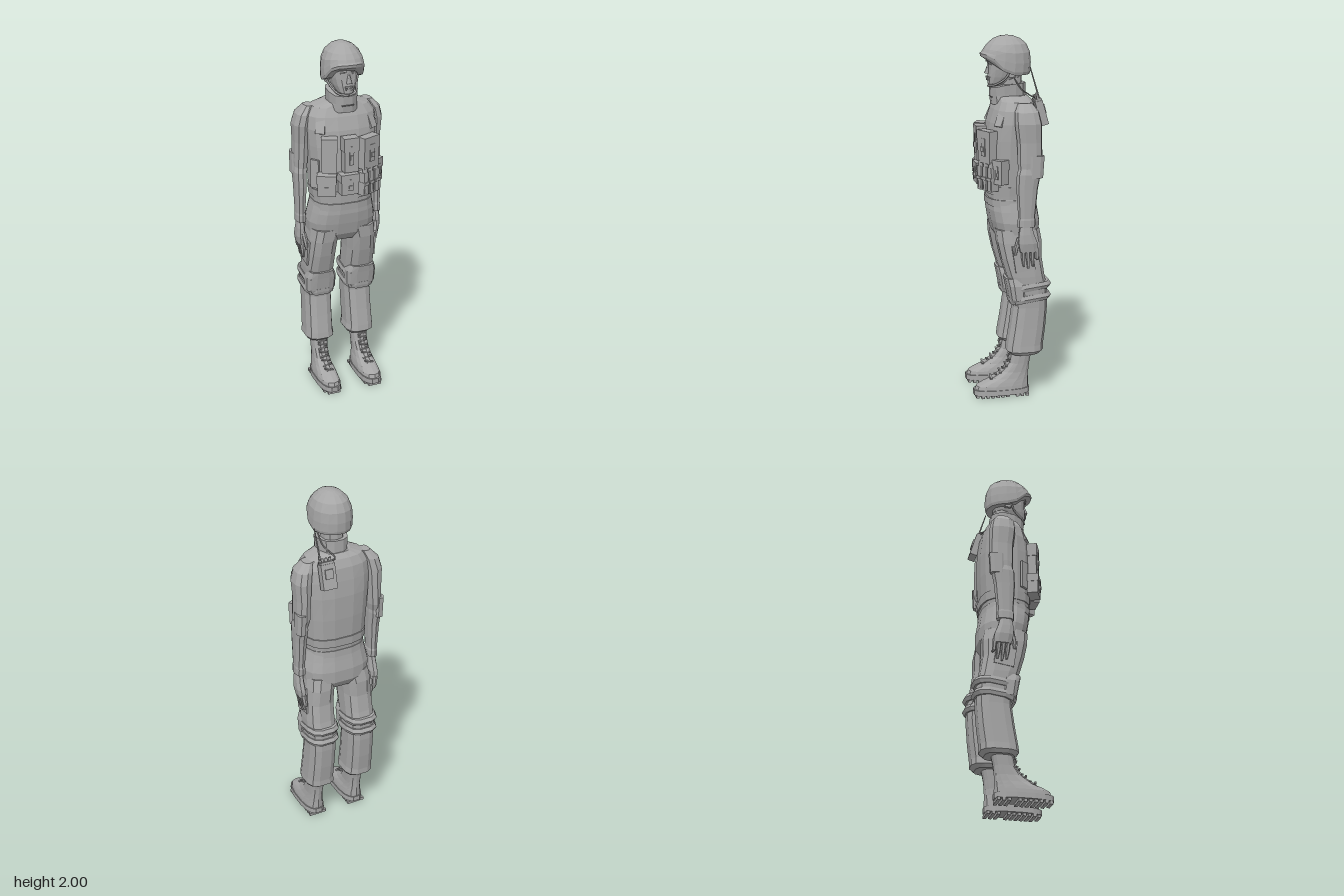
import * as THREE from 'three';

const grey = new THREE.MeshStandardMaterial({ color: 0xa6a6a6 });
grey.name = 'matte grey';

// Closed body from horizontal rings, bottom to top: [y, x0, x1, zBack, zFront, frontLift]
function loft(rings, sides = 12, power = 0.8) {
  const pos = [], idx = [];
  const bend = (v) => Math.sign(v) * Math.pow(Math.abs(v), power);
  for (const [y, x0, x1, zb, zf, lift = 0] of rings) {
    for (let i = 0; i < sides; i++) {
      const a = ((i + 0.5) / sides) * Math.PI * 2, t = bend(Math.sin(a));
      pos.push((x0 + x1) / 2 + ((x1 - x0) / 2) * bend(Math.cos(a)),
        y + lift * Math.tanh(3 * (t - 0.4)), (zb + zf) / 2 + ((zf - zb) / 2) * t);
    }
  }
  for (let r = 0; r < rings.length - 1; r++) {
    for (let i = 0; i < sides; i++) {
      const a = r * sides + i, b = r * sides + ((i + 1) % sides);
      idx.push(a, a + sides, b, b, a + sides, b + sides);
    }
  }
  const top = (rings.length - 1) * sides;
  for (let i = 1; i < sides - 1; i++) idx.push(0, i, i + 1, top, top + i + 1, top + i);
  const g = new THREE.BufferGeometry();
  g.setAttribute('position', new THREE.Float32BufferAttribute(pos, 3));
  g.setIndex(idx);
  const flat = g.toNonIndexed();
  flat.computeVertexNormals();
  return flat;
}

function add(parent, name, geometry, x = 0, y = 0, z = 0, rx = 0, ry = 0, rz = 0) {
  const m = new THREE.Mesh(geometry, grey);
  m.name = name;
  m.position.set(x, y, z);
  m.rotation.set(rx, ry, rz);
  parent.add(m);
  return m;
}
const box = (w, h, d) => new THREE.BoxGeometry(w, h, d);
const group = (parent, name) => {
  const g = new THREE.Group();
  g.name = name;
  parent.add(g);
  return g;
};
const tube = (pts, r) => new THREE.TubeGeometry(
  new THREE.CatmullRomCurve3(pts.map((p) => new THREE.Vector3(...p))), 14, r, 5);
// Rings symmetric about x = 0: [y, halfWidth, zBack, zFront, lift]
const even = (rings) => rings.map(([y, w, ...rest]) => [y, -w, w, ...rest]);
// Rings given for the left side, flipped for the right
const sided = (s, rings) => rings.map(([y, a, b, ...rest]) => (s > 0 ? [y, a, b, ...rest] : [y, -b, -a, ...rest]));

function pouch(parent, name, x, y, z, w, h, d, ry) {
  const g = group(parent, name);
  g.position.set(x, y, z);
  g.rotation.y = ry;
  add(g, 'pouchBody', box(w, h, d));
  add(g, 'pouchFlap', box(w + 0.006, h * 0.4, d + 0.008), 0, h * 0.31, 0);
  add(g, 'pouchStrap', box(w * 0.3, h * 0.55, 0.006), 0, 0, d / 2 + 0.004);
  add(g, 'pouchBuckle', box(w * 0.22, h * 0.14, 0.012), 0, -0.01, d / 2 + 0.006);
}

function head(root) {
  const g = group(root, 'head');
  add(g, 'face', loft(even([
    [1.725, 0.025, 0.02, 0.095], [1.745, 0.045, -0.03, 0.108], [1.78, 0.062, -0.08, 0.108],
    [1.82, 0.073, -0.09, 0.104], [1.85, 0.076, -0.095, 0.104], [1.9, 0.078, -0.095, 0.11]]), 14));
  add(g, 'neck', loft(even([[1.62, 0.06, -0.08, 0.05], [1.79, 0.055, -0.08, 0.05]]), 10));
  add(g, 'nose', new THREE.CylinderGeometry(0.005, 0.018, 0.052, 4), 0, 1.822, 0.106, -0.15, Math.PI / 4);
  add(g, 'upperLip', box(0.042, 0.008, 0.012), 0, 1.777, 0.107);
  add(g, 'lowerLip', box(0.034, 0.008, 0.012), 0, 1.764, 0.106);
  for (const s of [-1, 1]) {
    add(g, 'brow', box(0.04, 0.01, 0.016), s * 0.031, 1.867, 0.1, 0, s * 0.3, s * 0.15);
    add(g, 'eye', box(0.026, 0.008, 0.008), s * 0.033, 1.85, 0.098, 0, s * 0.35);
    add(g, 'ear', box(0.016, 0.055, 0.035), s * 0.08, 1.81, -0.01);
    add(g, 'chinStrap', tube([[s * 0.095, 1.82, 0.0], [s * 0.074, 1.77, 0.03], [s * 0.048, 1.738, 0.08], [0, 1.73, 0.105]], 0.006));
  }
  add(g, 'helmet', loft(even([
    [1.842, 0.108, -0.122, 0.145, 0.05], [1.858, 0.113, -0.127, 0.148, 0.05], [1.885, 0.112, -0.129, 0.137, 0.03],
    [1.92, 0.107, -0.124, 0.128, 0.01], [1.955, 0.088, -0.104, 0.108], [1.983, 0.058, -0.07, 0.077],
    [1.997, 0.026, -0.032, 0.042], [2, 0.006, -0.008, 0.016]]), 16, 0.95));
}

function torso(root) {
  const g = group(root, 'torso');
  add(g, 'jacket', loft(even([
    [1.13, 0.168, -0.15, 0.115], [1.2, 0.175, -0.157, 0.118], [1.32, 0.183, -0.165, 0.124],
    [1.45, 0.192, -0.167, 0.122], [1.54, 0.197, -0.16, 0.108], [1.61, 0.19, -0.15, 0.086],
    [1.655, 0.16, -0.13, 0.064], [1.68, 0.09, -0.105, 0.058]]), 16, 0.75));
  add(g, 'vestHem', loft(even([[1.15, 0.174, -0.16, 0.122], [1.2, 0.18, -0.163, 0.124]]), 16, 0.75));
  add(g, 'belt', loft(even([[1.085, 0.173, -0.157, 0.12], [1.125, 0.171, -0.155, 0.122]]), 16, 0.75));
  add(g, 'collar', loft(even([
    [1.645, 0.086, -0.105, 0.09, -0.015], [1.68, 0.08, -0.102, 0.096], [1.735, 0.084, -0.1, 0.098, -0.012]]), 12, 0.85));
  add(g, 'collarPoint', new THREE.ConeGeometry(0.05, 0.06, 4), 0, 1.645, 0.06, Math.PI, Math.PI / 4);
  add(g, 'hips', loft(even([
    [0.885, 0.15, -0.14, 0.055], [0.93, 0.188, -0.168, 0.086], [1.0, 0.195, -0.17, 0.104],
    [1.06, 0.183, -0.16, 0.114], [1.14, 0.165, -0.148, 0.114]]), 16, 0.75));
  for (const s of [-1, 1]) add(g, 'shoulderStrap', box(0.05, 0.09, 0.012), s * 0.145, 1.57, 0.066, -0.5, s * 0.55, s * 0.25);
}

function gear(root) {
  const g = group(root, 'chestGear');
  pouch(g, 'upperPouchRight', -0.118, 1.42, 0.125, 0.08, 0.19, 0.05, -0.4);
  pouch(g, 'upperPouchCentre', -0.01, 1.42, 0.148, 0.078, 0.19, 0.05, 0);
  pouch(g, 'upperPouchLeft', 0.105, 1.415, 0.132, 0.11, 0.175, 0.045, 0.42);
  pouch(g, 'lowerPouchRight', -0.133, 1.255, 0.125, 0.1, 0.115, 0.06, -0.4);
  pouch(g, 'lowerPouchCentre', -0.018, 1.255, 0.147, 0.098, 0.115, 0.055, 0);
  // Row of slim holders with capped tubes
  for (let i = 0; i < 3; i++) {
    const h = group(g, 'magazineHolder');
    h.position.set(0.066 + i * 0.04, 1.255, 0.148 - i * 0.02);
    h.rotation.y = 0.45;
    add(h, 'holder', box(0.034, 0.13, 0.05), 0, -0.012, 0);
    add(h, 'magazine', new THREE.CylinderGeometry(0.013, 0.015, 0.15, 8), 0, 0.008, 0.014);
    add(h, 'holderBand', box(0.037, 0.016, 0.06), 0, -0.01, 0.002);
  }
  pouch(g, 'sidePouch', 0.168, 1.285, 0.07, 0.062, 0.13, 0.055, 0.6);
  add(g, 'sidePanelRight', box(0.05, 0.16, 0.014), -0.176, 1.3, 0.06, 0, -0.9);

  // Radio leaning on the back of the left shoulder
  const r = group(root, 'radio');
  r.position.set(0.098, 1.592, -0.163);
  r.rotation.x = 0.28;
  add(r, 'radioBody', box(0.08, 0.135, 0.042));
  add(r, 'radioTop', box(0.072, 0.016, 0.036), 0, 0.072, 0);
  add(r, 'radioClip', box(0.045, 0.05, 0.008), 0, 0.015, -0.024);
  for (const x of [-0.025, -0.004, 0.017]) add(r, 'radioKnob', new THREE.CylinderGeometry(0.008, 0.008, 0.018, 8), x, 0.088, 0.004);
  add(r, 'antennaBase', new THREE.CylinderGeometry(0.006, 0.007, 0.04, 6), 0.034, 0.095, 0);
  add(root, 'antenna', new THREE.CylinderGeometry(0.003, 0.005, 0.18, 6), 0.136, 1.758, -0.121, 0.3, 0, -0.05);
  add(root, 'radioCable', tube([[0.07, 1.665, -0.14], [0.035, 1.67, -0.13], [0.05, 1.69, -0.1], [0.075, 1.72, -0.06], [0.085, 1.78, -0.02]], 0.004));
}

function arm(root, s) {
  const g = group(root, s > 0 ? 'leftArm' : 'rightArm');
  add(g, 'upperSleeve', loft(sided(s, [
    [1.3, 0.183, 0.25, -0.135, -0.015], [1.34, 0.175, 0.252, -0.147, -0.012], [1.45, 0.168, 0.25, -0.147, -0.01],
    [1.55, 0.16, 0.256, -0.145, 0.002], [1.61, 0.15, 0.24, -0.132, 0], [1.655, 0.14, 0.195, -0.1, -0.025]]), 10));
  add(g, 'lowerSleeve', loft(sided(s, [
    [0.99, 0.194, 0.25, -0.108, -0.01], [1.03, 0.194, 0.25, -0.11, -0.01], [1.04, 0.197, 0.248, -0.106, -0.014],
    [1.2, 0.187, 0.253, -0.122, -0.004], [1.28, 0.183, 0.257, -0.138, -0.006], [1.32, 0.185, 0.248, -0.13, -0.02]]), 10));
  add(g, 'elbowPatch', loft(sided(s, [[1.26, 0.205, 0.258, -0.147, -0.06], [1.38, 0.205, 0.258, -0.155, -0.06]]), 8));
  add(g, 'hand', loft(sided(s, [
    [0.85, 0.203, 0.24, -0.128, -0.022], [0.9, 0.2, 0.25, -0.122, -0.012], [0.95, 0.202, 0.248, -0.102, -0.014],
    [1.0, 0.204, 0.242, -0.088, -0.024]]), 8));
  [0.8, 0.765, 0.755, 0.765].forEach((y, i) => {
    const z = -0.118 + i * 0.025;
    add(g, 'finger', loft(sided(s, [
      [y, 0.203, 0.217, z - 0.012, z], [0.81, 0.203, 0.227, z - 0.012, z + 0.01], [0.87, 0.205, 0.238, z - 0.01, z + 0.014]]), 6));
  });
  add(g, 'thumb', loft(sided(s, [
    [0.83, 0.196, 0.214, -0.01, 0.004], [0.87, 0.196, 0.222, -0.018, 0.006], [0.93, 0.204, 0.23, -0.045, -0.008]]), 6));
}

function leg(root, s) {
  const g = group(root, s > 0 ? 'leftLeg' : 'rightLeg');
  add(g, 'trouserLeg', loft(sided(s, [
    [0.245, 0.05, 0.195, -0.15, 0.01], [0.265, 0.037, 0.208, -0.175, 0.034], [0.3, 0.043, 0.205, -0.175, 0.03],
    [0.4, 0.042, 0.202, -0.188, 0.013], [0.52, 0.04, 0.2, -0.198, -0.004], [0.62, 0.037, 0.203, -0.198, 0.01],
    [0.7, 0.036, 0.205, -0.18, 0.034], [0.8, 0.035, 0.2, -0.165, 0.064], [0.89, 0.028, 0.194, -0.167, 0.084],
    [0.96, 0.01, 0.185, -0.155, 0.09]]), 12, 0.7));
  // Knee pad with two straps sagging to the back
  add(g, 'kneePad', loft(sided(s, [
    [0.545, 0.05, 0.19, -0.08, 0.012], [0.57, 0.035, 0.207, -0.08, 0.02], [0.65, 0.033, 0.209, -0.08, 0.035],
    [0.69, 0.05, 0.195, -0.08, 0.044]]), 12, 0.65));
  for (const y of [0.57, 0.635]) {
    add(g, 'kneeStrap', loft(sided(s, [
      [y - 0.02, 0.031, 0.209, -0.206, 0.016, -0.012], [y, 0.025, 0.216, -0.218, 0.022, -0.012],
      [y + 0.02, 0.031, 0.209, -0.206, 0.024, -0.012]]), 12, 0.7));
  }
  add(g, 'thighPocket', box(0.014, 0.15, 0.11), s * 0.198, 0.81, -0.05, 0.15);

  const b = group(g, s > 0 ? 'leftBoot' : 'rightBoot');
  add(b, 'bootUpper', loft(sided(s, [
    [0.04, 0.064, 0.186, -0.096, 0.214], [0.065, 0.066, 0.184, -0.096, 0.205], [0.085, 0.07, 0.18, -0.095, 0.165],
    [0.105, 0.076, 0.175, -0.095, 0.11], [0.14, 0.08, 0.17, -0.096, 0.055], [0.19, 0.078, 0.17, -0.1, 0.015],
    [0.3, 0.07, 0.176, -0.122, -0.008]]), 14, 0.8));
  add(b, 'sole', loft(sided(s, [[0.015, 0.06, 0.19, -0.1, 0.22], [0.045, 0.061, 0.189, -0.1, 0.22]]), 16, 0.75));
  for (let i = 0; i < 11; i++) {
    const z = -0.08 + i * 0.028;
    if (i === 3) continue;
    add(b, 'soleTread', box(i > 9 ? 0.075 : 0.105, 0.016, 0.018), s * 0.125, 0.008, z);
  }
  // Laces climb the tongue
  const path = new THREE.CatmullRomCurve3([[0.098, 0.125], [0.14, 0.058], [0.19, 0.017], [0.245, 0.004]]
    .map(([y, z]) => new THREE.Vector3(s * 0.124, y, z)));
  add(b, 'tongue', new THREE.TubeGeometry(path, 10, 0.012, 6));
  for (let i = 0; i < 8; i++) {
    const p = path.getPoint((i + 0.5) / 8);
    add(b, 'lace', box(0.052, 0.007, 0.01), p.x, p.y + 0.004, p.z + 0.008, 0, 0, i % 2 ? 0.2 : -0.2);
  }
}

export function createModel() {
  const root = new THREE.Group();
  root.name = 'soldier';
  head(root);
  torso(root);
  gear(root);
  for (const s of [-1, 1]) {
    arm(root, s);
    leg(root, s);
  }
  return root;
}
